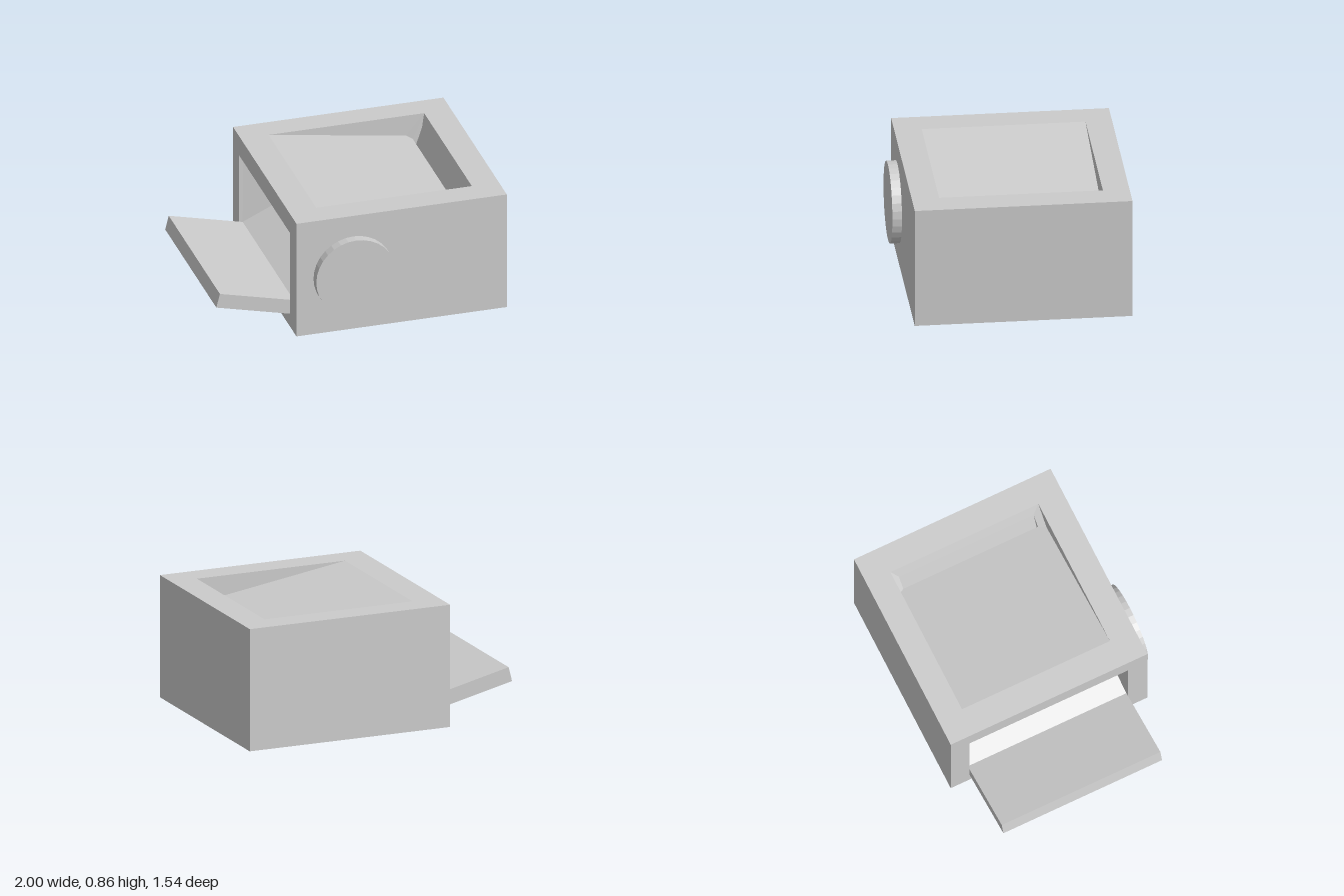
import * as THREE from 'three';

const grey = new THREE.MeshStandardMaterial({ color: 0xcccccc, flatShading: true });

function part(name, geometry) {
  const mesh = new THREE.Mesh(geometry, grey);
  mesh.name = name;
  return mesh;
}

// Joins four-cornered rings into a closed loop of flat faces.
// Each ring is [floorX, floorY, ceilingX, ceilingY, zBack, zFront].
function loftLoop(sections) {
  const rings = sections.map(([fx, fy, cx, cy, z0, z1]) => [
    new THREE.Vector3(fx, fy, z0), new THREE.Vector3(fx, fy, z1),
    new THREE.Vector3(cx, cy, z1), new THREE.Vector3(cx, cy, z0),
  ]);
  const points = [];
  const tri = (a, b, c) => {
    if (new THREE.Triangle(a, b, c).getArea() > 1e-7) points.push(a, b, c);
  };
  rings.forEach((ring, i) => {
    const next = rings[(i + 1) % rings.length];
    for (let k = 0; k < 4; k++) {
      const m = (k + 1) % 4;
      tri(ring[k], ring[m], next[m]);
      tri(ring[k], next[m], next[k]);
    }
  });
  const geometry = new THREE.BufferGeometry().setFromPoints(points);
  geometry.computeVertexNormals();
  return geometry;
}

export function createModel() {
  const model = new THREE.Group();
  model.name = 'hopperMachine';

  // Casing: outlet on the -x side, chute through the inside, hopper in the top
  const back = -0.77, front = 0.705;
  model.add(part('casing', loftLoop([
    [-0.48, 0, -0.48, 0.855, back, front],         // outer rim of outlet face
    [-0.48, 0.10, -0.48, 0.71, -0.63, 0.56],       // outlet
    [-0.455, 0.20, -0.45, 0.71, -0.63, 0.56],      // foot of the ramp
    [0.08, 0.465, 0.08, 0.69, -0.60, 0.53],        // ramp
    [0.71, 0.57, 0.70, 0.64, -0.54, 0.47],         // chute bend
    [0.78, 0.776, 0.715, 0.698, -0.54, 0.47],      // slot
    [0.81, 0.855, 0.685, 0.703, -0.59, 0.52],      // bevel round the slot
    [0.81, 0.855, -0.285, 0.855, -0.59, 0.52],     // hopper rim
    [1, 0.855, -0.48, 0.855, back, front],         // top edge
    [1, 0, -0.48, 0.855, back, front],             // bottom edge of +x side
  ])));

  // Sloping delivery tray
  const trayShape = new THREE.Shape([
    [-1, 0.225], [-0.48, 0.10], [-0.455, 0.20], [-0.975, 0.325],
  ].map(([x, y]) => new THREE.Vector2(x, y)));
  const tray = part('tray', new THREE.ExtrudeGeometry(trayShape, { depth: 1.19, bevelEnabled: false }));
  tray.position.z = -0.63;
  model.add(tray);

  // Round dial on the front
  const dial = part('dial', new THREE.CylinderGeometry(0.28, 0.28, 0.075, 32).rotateX(Math.PI / 2));
  dial.position.set(-0.08, 0.42, 0.7325);
  model.add(dial);

  return model;
}
